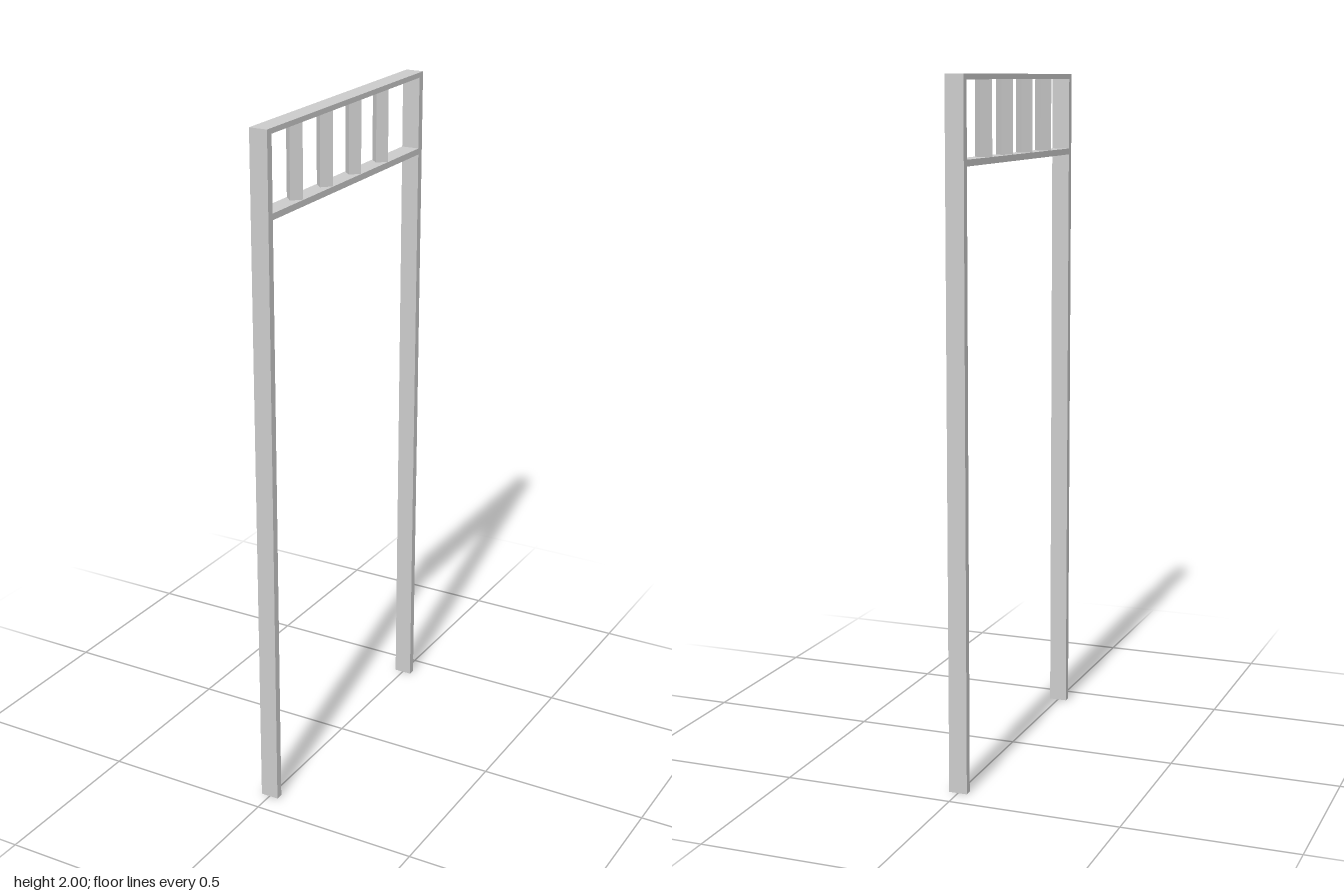
import * as THREE from 'three';

const WIDTH = 0.054; // depth of the frame boards along x
const HALF = 0.435; // half of the overall span along z
const POST = 0.022; // post thickness

export function createModel() {
  const group = new THREE.Group();
  const material = new THREE.MeshStandardMaterial({ color: 0xcccccc, flatShading: true });

  // Box named for its part, standing on height y
  const addBox = (name, w, h, d, y, z) => {
    const mesh = new THREE.Mesh(new THREE.BoxGeometry(w, h, d), material);
    mesh.name = name;
    mesh.position.set(0, y + h / 2, z);
    group.add(mesh);
    return mesh;
  };

  // Two tall posts
  addBox('frontPost', WIDTH, 2, POST, 0, HALF - POST / 2);
  addBox('backPost', WIDTH, 2, POST, 0, -HALF + POST / 2);

  // Rails between the posts
  const span = 2 * (HALF - POST);
  addBox('topRail', WIDTH, 0.015, span, 1.985, 0);
  addBox('lowerRail', WIDTH, 0.018, span, 1.757, 0);

  // Square balusters turned to a diamond, evenly spaced
  for (let i = 0; i < 4; i++) {
    const slat = addBox('baluster' + (i + 1), 0.036, 0.21, 0.036, 1.775, 0.255 - i * 0.16);
    slat.rotation.y = Math.PI / 4;
  }
  return group;
}
